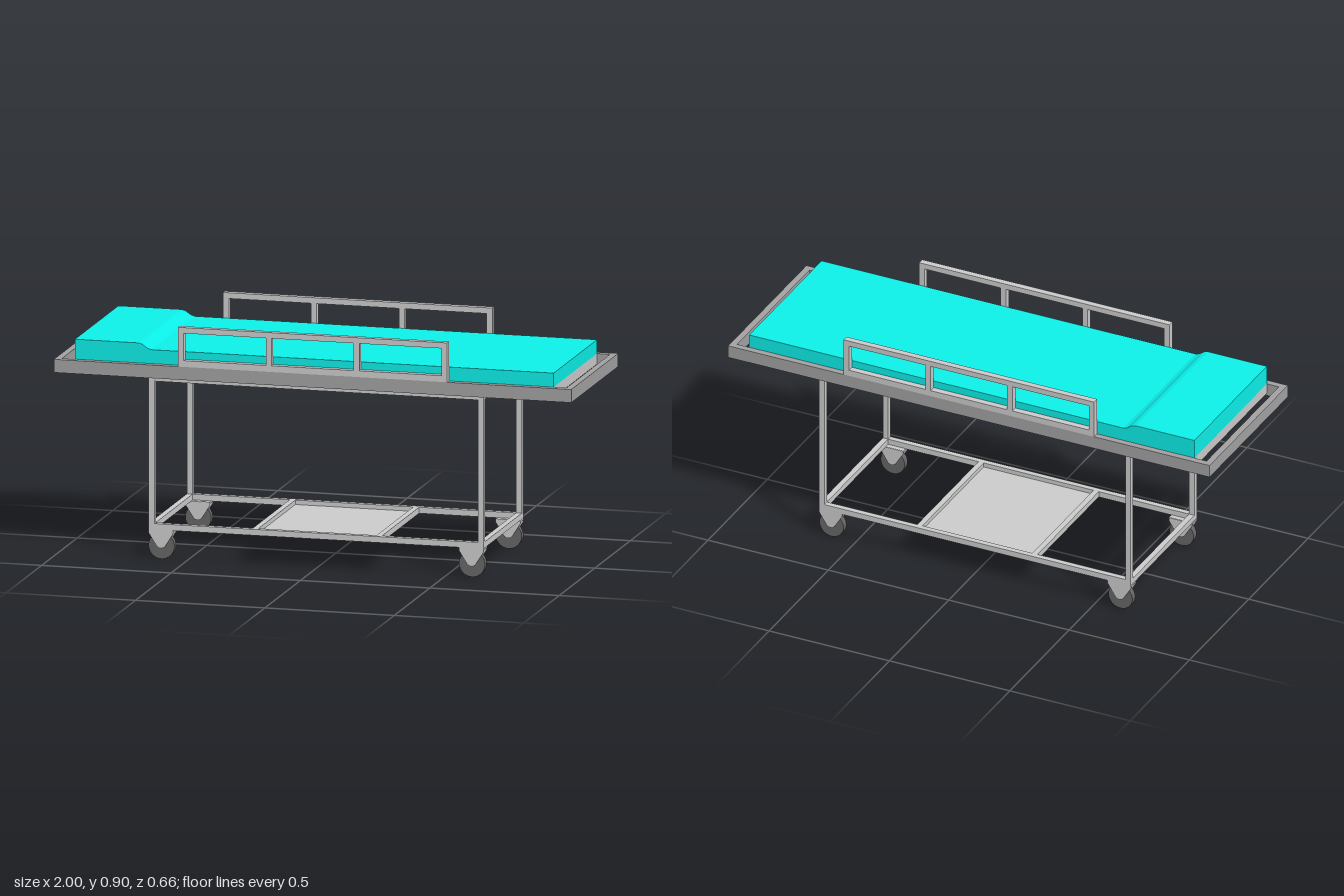
import * as THREE from 'three';

const grey = new THREE.MeshStandardMaterial({ color: 0xcccccc });
const darkGrey = new THREE.MeshStandardMaterial({ color: 0xa2a2a2 });
const rubber = new THREE.MeshStandardMaterial({ color: 0x666666 });
const teal = new THREE.MeshStandardMaterial({ color: 0x0cefe8 });

const BAR = 0.022;

// Box given by its lower and upper limits on each axis
function box(parent, name, [x0, x1], [y0, y1], [z0, z1], material = grey) {
  const mesh = new THREE.Mesh(new THREE.BoxGeometry(x1 - x0, y1 - y0, z1 - z0), material);
  mesh.position.set((x0 + x1) / 2, (y0 + y1) / 2, (z0 + z1) / 2);
  mesh.name = name;
  parent.add(mesh);
  return mesh;
}

// Solid from an XY outline, extruded in z and centred on z = 0
function extrude(points, depth) {
  const shape = new THREE.Shape(points.map(([x, y]) => new THREE.Vector2(x, y)));
  return new THREE.ExtrudeGeometry(shape, { depth, bevelEnabled: false }).translate(0, 0, -depth / 2);
}

// Flat rectangular ring of bars
function ring(parent, name, hx, hz, y, width, material) {
  const group = new THREE.Group();
  group.name = name;
  for (const s of [-1, 1]) {
    const zs = [s * hz, s * (hz - width)].sort((a, b) => a - b);
    const xs = [s * hx, s * (hx - width)].sort((a, b) => a - b);
    box(group, 'longBar', [-hx, hx], y, zs, material);
    box(group, 'endBar', xs, y, [-hz + width, hz - width], material);
  }
  parent.add(group);
}

// Side guard: an outline with three window openings
function sideGuard() {
  const shape = new THREE.Shape();
  shape.moveTo(-0.52, 0.75).lineTo(0.52, 0.75).lineTo(0.52, 0.9).lineTo(-0.52, 0.9).closePath();
  const pitch = (1.04 - BAR) / 3;
  for (let i = 0; i < 3; i++) {
    const a = -0.52 + BAR + i * pitch, b = a + pitch - BAR;
    const hole = new THREE.Path();
    hole.moveTo(a, 0.774).lineTo(a, 0.878).lineTo(b, 0.878).lineTo(b, 0.774).closePath();
    shape.holes.push(hole);
  }
  const geo = new THREE.ExtrudeGeometry(shape, { depth: 0.025, bevelEnabled: false });
  const mesh = new THREE.Mesh(geo.translate(0, 0, -0.0125), grey);
  mesh.name = 'sideGuard';
  return mesh;
}

// Caster: wheel, axle and fork, centred on its own x and z
function caster() {
  const group = new THREE.Group();
  group.name = 'caster';
  const wheel = new THREE.Mesh(new THREE.CylinderGeometry(0.05, 0.05, 0.025, 32), rubber);
  wheel.name = 'wheel';
  const axle = new THREE.Mesh(new THREE.CylinderGeometry(0.008, 0.008, 0.044, 16), grey);
  axle.name = 'axle';
  for (const part of [wheel, axle]) {
    part.rotation.x = Math.PI / 2;
    part.position.y = 0.05;
    group.add(part);
  }
  // Fork cheeks taper down to the axle
  const cheek = extrude([
    [-0.048, 0.112], [-0.048, 0.1], [-0.015, 0.048], [-0.007, 0.043],
    [0.007, 0.043], [0.015, 0.048], [0.048, 0.1], [0.048, 0.112]
  ], 0.004);
  for (const s of [-1, 1]) {
    const mesh = new THREE.Mesh(cheek, grey);
    mesh.name = 'forkCheek';
    mesh.position.z = s * 0.02;
    group.add(mesh);
  }
  box(group, 'forkTop', [-0.048, 0.048], [0.106, 0.113], [-0.02, 0.02]);
  return group;
}

export function createModel() {
  const model = new THREE.Group();
  model.name = 'stretcher';

  // Bed frame and deck, open at both ends
  ring(model, 'bedFrame', 1, 0.33, [0.7, 0.75], 0.025, darkGrey);
  box(model, 'deck', [-0.925, 0.925], [0.71, 0.75], [-0.305, 0.305]);

  // Mattress with a raised head end
  const mattress = new THREE.Mesh(extrude([
    [-0.925, 0.75], [0.925, 0.75], [0.925, 0.803], [-0.63, 0.803],
    [-0.645, 0.808], [-0.665, 0.822], [-0.68, 0.826], [-0.925, 0.826]
  ], 0.61), teal);
  mattress.name = 'mattress';
  model.add(mattress);

  // Undercarriage
  ring(model, 'upperRails', 0.647, 0.28, [0.678, 0.7], BAR, grey);
  ring(model, 'lowerRails', 0.647, 0.28, [0.112, 0.135], BAR, grey);

  // Lower shelf between two crossbars
  box(model, 'shelf', [-0.25, 0.25], [0.112, 0.118], [-0.258, 0.258]);
  for (const x of [-0.239, 0.239]) {
    box(model, 'crossbar', [x - 0.011, x + 0.011], [0.112, 0.135], [-0.258, 0.258]);
  }

  // Guards, legs and casters, mirrored
  for (const sz of [-1, 1]) {
    const guard = sideGuard();
    guard.position.z = sz * 0.3175;
    model.add(guard);
    for (const sx of [-1, 1]) {
      const leg = box(model, 'leg', [0, BAR], [0.135, 0.678], [0, BAR]);
      leg.position.x = sx * 0.636;
      leg.position.z = sz * 0.269;
      const wheel = caster();
      wheel.position.set(sx * 0.6, 0, sz * 0.258);
      model.add(wheel);
    }
  }
  return model;
}
